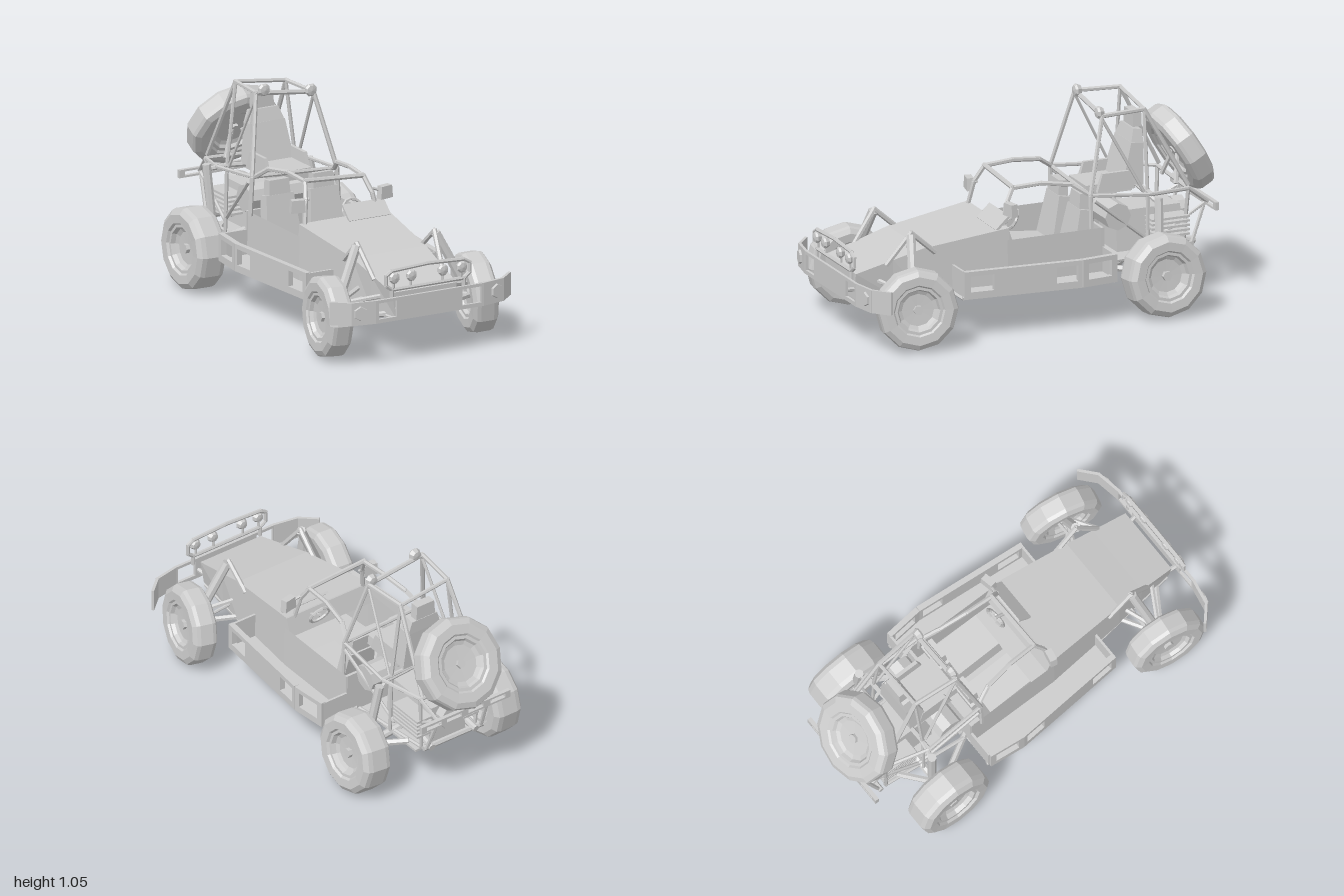
import * as THREE from 'three';

const mat = new THREE.MeshStandardMaterial({ color: 0xcccccc, flatShading: true, side: THREE.DoubleSide });
const V = (p) => new THREE.Vector3(...p);
const mirror = (p) => [-p[0], p[1], p[2]];

function add(parent, name, geo, pos = [0, 0, 0], rot = [0, 0, 0]) {
  const m = new THREE.Mesh(geo, mat);
  m.name = name;
  m.position.set(...pos);
  m.rotation.set(...rot);
  parent.add(m);
  return m;
}
const box = (w, h, d) => new THREE.BoxGeometry(w, h, d);
// Octagonal lamp with a shallow lens facing +z
const lamp = (r) => new THREE.LatheGeometry([[0, -0.6], [0.7, -0.5], [1, 0.2], [0.75, 0.5], [0, 0.65]].map(([x, y]) => new THREE.Vector2(x * r, y * r)), 8).rotateX(Math.PI / 2).rotateZ(Math.PI / 8);

// Box whose top is scaled in x and z
function taperBox(w, h, d, sx, sz = 1) {
  const g = box(w, h, d), p = g.attributes.position;
  for (let i = 0; i < p.count; i++) if (p.getY(i) > 0) p.setXYZ(i, p.getX(i) * sx, p.getY(i), p.getZ(i) * sz);
  return g;
}

// Straight tubes along a path of points
function bars(parent, name, pts, r = 0.01, sides = 6) {
  for (let i = 0; i + 1 < pts.length; i++) {
    const a = V(pts[i]), b = V(pts[i + 1]), d = b.clone().sub(a);
    const m = add(parent, name, new THREE.CylinderGeometry(r, r, d.length() + r, sides), a.clone().add(b).multiplyScalar(0.5).toArray());
    m.quaternion.setFromUnitVectors(new THREE.Vector3(0, 1, 0), d.normalize());
  }
}
function pairBars(parent, name, pts, r, sides) {
  bars(parent, name, pts, r, sides);
  bars(parent, name, pts.map(mirror), r, sides);
}

// Sheet spanning rows of points
function sheet(rows) {
  const v = [];
  for (let i = 0; i + 1 < rows.length; i++) for (let j = 0; j + 1 < rows[i].length; j++) {
    const [a, b, c, d] = [rows[i][j], rows[i][j + 1], rows[i + 1][j + 1], rows[i + 1][j]];
    v.push(...a, ...b, ...c, ...a, ...c, ...d);
  }
  const g = new THREE.BufferGeometry();
  g.setAttribute('position', new THREE.Float32BufferAttribute(v, 3));
  g.computeVertexNormals();
  return g;
}

// Upright plate with rectangular windows [x0, x1, y0, y1]
function plate(x0, x1, y0, y1, depth, holes = []) {
  const rect = (P, a, b, c, d) => new P([[a, c], [b, c], [b, d], [a, d]].map((q) => new THREE.Vector2(...q)));
  const s = rect(THREE.Shape, x0, x1, y0, y1);
  holes.forEach((h) => s.holes.push(rect(THREE.Path, ...h)));
  return new THREE.ExtrudeGeometry(s, { depth, bevelEnabled: false });
}

// Tyre and dished rim on an x axis
function wheel(parent, name, pos, rot, R, width) {
  const k = R / 0.2, h = width / 2, g = new THREE.Group();
  const half = [[0, 0.38], [0.08, 0.42], [0.098, 0.55], [0.106, 0.82], [0.12, 0.82], [0.128, 0.97], [0.17, 1], [0.194, 0.78], [0.2, 0.5]];
  const pts = [...half.map(([r, y]) => [r, -y]), ...half.slice().reverse()];
  const geo = new THREE.LatheGeometry(pts.map(([r, y]) => new THREE.Vector2(r * k, y * h)), 12);
  add(g, 'tyreAndRim', geo.rotateZ(-Math.PI / 2));
  add(g, 'hubNut', new THREE.CylinderGeometry(0.024, 0.024, width * 0.65, 6).rotateZ(Math.PI / 2));
  g.name = name;
  g.position.set(...pos);
  g.rotation.set(...rot);
  parent.add(g);
}

export function createModel() {
  const car = new THREE.Group();
  car.name = 'buggy';

  // Wheels: the front pair is steered, the spare leans on the tail
  wheel(car, 'frontWheelRight', [-0.41, 0.2, 0.722], [0, -0.12, -0.03], 0.2, 0.125);
  wheel(car, 'frontWheelLeft', [0.405, 0.2, 0.722], [0, -0.19, 0.07], 0.2, 0.13);
  wheel(car, 'rearWheelRight', [-0.395, 0.2, -0.59], [0, 0, -0.01], 0.204, 0.16);
  wheel(car, 'rearWheelLeft', [0.385, 0.2, -0.59], [0, 0, 0.09], 0.204, 0.16);
  wheel(car, 'spareWheel', [-0.028, 0.695, -0.858], [0.52, Math.PI / 2, 0], 0.23, 0.118);

  // Hood and nose
  const hoodRow = (z, wt, yt, wb) => [[-wb, 0.21, z], [-wt, yt, z], [wt, yt, z], [wb, 0.21, z]];
  add(car, 'hood', sheet([hoodRow(0.94, 0.18, 0.338, 0.16), hoodRow(0.75, 0.193, 0.388, 0.185), hoodRow(0.6, 0.205, 0.43, 0.21), hoodRow(0.16, 0.245, 0.49, 0.25)]));
  add(car, 'nosePanel', sheet([[[-0.18, 0.338, 0.94], [0.18, 0.338, 0.94]], [[-0.16, 0.21, 0.94], [0.16, 0.21, 0.94]]]));
  add(car, 'dashboard', box(0.48, 0.1, 0.03), [0, 0.43, 0.16], [0.3, 0, 0]);
  add(car, 'driverCowl', box(0.23, 0.012, 0.095), [0.115, 0.512, 0.185], [0.75, 0, 0]);

  // Floor: narrow under the nose, wide at the pods, with frame rails beneath
  const nose = [[0.92, 0.16], [0.45, 0.22]], pod = [[0.45, 0.35], [-0.15, 0.4], [-0.34, 0.38]];
  for (const part of [nose, pod]) {
    add(car, 'floor', sheet(part.map(([z, w]) => [[-w, 0.211, z], [w, 0.211, z]])));
    pairBars(car, 'floorEdgeRail', part.map(([z, w]) => [w, 0.203, z]));
  }
  for (const z of [0.45, 0.18, -0.08, -0.33]) {
    const w = 0.38 - Math.max(0, z) * 0.07;
    bars(car, 'floorCrossRail', [[-w, 0.2, z], [w, 0.2, z]], 0.01, 4);
  }
  pairBars(car, 'floorRail', [[0.13, 0.2, 0.9], [0.17, 0.2, -0.35]], 0.01, 4);
  add(car, 'bulkhead', box(0.5, 0.22, 0.015), [0, 0.32, -0.33]);

  // Cockpit walls and open side trays behind windowed frames
  for (const s of [-1, 1]) {
    add(car, 'cockpitWall', sheet([0.17, -0.34].map((z) => [[s * 0.248, 0.43, z], [s * 0.25, 0.21, z]])));
    add(car, 'trayFront', box(0.15, 0.13, 0.012), [s * 0.29, 0.27, 0.445]);
    add(car, 'trayBack', box(0.14, 0.13, 0.012), [s * 0.32, 0.27, -0.335]);
    const x = s > 0 ? 0 : -0.028;
    add(car, 'sideFrame', plate(0, 0.6, 0.2, 0.338, 0.028, [[0.03, 0.15, 0.235, 0.315], [0.47, 0.58, 0.235, 0.315]]), [s * 0.345 + x, 0, 0.45], [0, Math.PI / 2 - s * 0.083, 0]);
    add(car, 'sideFrameTail', plate(0, 0.19, 0.2, 0.338, 0.028, [[0.03, 0.16, 0.235, 0.315]]), [s * 0.395 + x, 0, -0.148], [0, Math.PI / 2 + s * 0.105, 0]);
  }

  // Front seats and steering
  for (const x of [-0.12, 0.125]) {
    add(car, 'seatCushion', taperBox(0.2, 0.09, 0.29, 0.92, 0.95), [x, 0.27, -0.08], [-0.1, 0, 0]);
    add(car, 'seatBack', taperBox(0.2, 0.25, 0.06, 0.75), [x, 0.39, -0.24], [-0.2, 0, 0]);
    add(car, 'seatHeadrest', taperBox(0.12, 0.085, 0.05, 0.9), [x, 0.545, -0.265], [-0.1, 0, 0]);
  }
  add(car, 'steeringWheel', new THREE.TorusGeometry(0.055, 0.008, 5, 12), [0.1, 0.49, 0.085], [-0.45, 0, 0]);
  bars(car, 'steeringColumn', [[0.1, 0.49, 0.085], [0.1, 0.45, 0.16]], 0.009);

  // Roll cage, leaning a little to one side
  const lean = ([x, y, z]) => [x - 0.014, y - x * 0.2 * Math.max(0, y - 0.35), z];
  const cage = (name, pts, r) => {
    bars(car, name, pts.map(lean), r);
    bars(car, name, pts.map(mirror).map(lean), r);
  };
  const cross = (name, x, y, z, r) => bars(car, name, [[-x, y, z], [x, y, z]].map(lean), r);
  cage('windscreenFrame', [[0.205, 0.47, 0.17], [0.185, 0.59, 0.145], [0.163, 0.668, 0.1], [0.17, 0.675, -0.05], [0.19, 0.655, -0.2], [0.22, 0.6, -0.28]], 0.012);
  cross('windscreenTopBar', 0.163, 0.67, 0.1, 0.012);
  cage('mainHoop', [[0.245, 0.42, -0.28], [0.235, 0.6, -0.28], [0.16, 0.977, -0.375], [0.14, 0.975, -0.605], [0.17, 0.57, -0.82]], 0.0115);
  cross('hoopTopBar', 0.16, 0.977, -0.375, 0.012);
  cross('rearTopBar', 0.14, 0.975, -0.605);
  cross('hoopMiddleBar', 0.235, 0.6, -0.28);
  cage('cageUpright', [[0.14, 0.97, -0.605], [0.19, 0.57, -0.6], [0.2, 0.24, -0.6]], 0.0095);
  cage('cageBrace', [[0.16, 0.95, -0.38], [0.19, 0.57, -0.58]], 0.008);
  cage('upperRail', [[0.235, 0.6, -0.28], [0.245, 0.57, -0.6], [0.18, 0.55, -0.82], [0.15, 0.46, -0.93]]);
  cage('rearStrut', [[0.18, 0.55, -0.82], [0.16, 0.24, -0.8], [0.2, 0.23, -0.36]]);
  cage('rearDiagonal', [[0.245, 0.57, -0.3], [0.19, 0.3, -0.62], [0.15, 0.46, -0.93]], 0.009);
  cage('tailBrace', [[0.16, 0.27, -0.85], [0.15, 0.46, -0.92]]);
  cross('rearRail', 0.18, 0.55, -0.82);
  cross('lowerRearRail', 0.17, 0.26, -0.84, 0.014);
  cross('engineRail', 0.245, 0.57, -0.6);
  cage('spareMount', [[0.08, 0.55, -0.8], [0.03, 0.67, -0.83]], 0.012);
  for (const s of [-1, 1]) {
    add(car, 'roofLamp', lamp(0.033), [s * 0.13 - 0.005, 0.99 - s * 0.02, -0.37]);
    add(car, 'mirror', taperBox(0.075, 0.063, 0.035, 0.85), [s * 0.243 - 0.005, 0.578, 0.15], [0, s * 0.2, 0]);
    bars(car, 'mirrorArm', [[s * 0.18, 0.6, 0.14], [s * 0.235, 0.58, 0.15]], 0.007);
  }

  // Raised rear seat
  add(car, 'rearSeatCushion', taperBox(0.21, 0.05, 0.24, 0.95), [0, 0.575, -0.43]);
  add(car, 'rearSeatBack', taperBox(0.235, 0.2, 0.11, 0.82, 0.6), [-0.005, 0.68, -0.57], [-0.16, 0, 0]);
  add(car, 'rearSeatTop', taperBox(0.19, 0.065, 0.065, 0.78, 0.7), [-0.007, 0.81, -0.592], [-0.16, 0, 0]);
  add(car, 'rearHeadrest', taperBox(0.112, 0.075, 0.045, 0.9), [-0.008, 0.885, -0.605]);
  for (const s of [-1, 1]) add(car, 'rearSeatBolster', taperBox(0.03, 0.09, 0.2, 0.6, 0.7), [s * 0.11, 0.61, -0.46]);

  // Engine bay
  add(car, 'enginePan', box(0.36, 0.012, 0.44), [0, 0.23, -0.58]);
  add(car, 'engineBlock', taperBox(0.22, 0.2, 0.34, 0.85), [0, 0.35, -0.64]);
  add(car, 'fanHousing', new THREE.CylinderGeometry(0.07, 0.07, 0.06, 10).rotateX(Math.PI / 2), [0, 0.39, -0.83]);
  add(car, 'fuelTank', new THREE.CylinderGeometry(0.068, 0.068, 0.42, 8).rotateZ(Math.PI / 2), [0, 0.46, -0.43]);
  for (const s of [-1, 1]) for (let i = 0; i < 5; i++) add(car, 'coolingFin', box(0.09, 0.011, 0.2), [s * 0.14, 0.32 + i * 0.022, -0.72]);
  pairBars(car, 'exhaust', [[0.12, 0.3, -0.7], [0.13, 0.27, -0.86]], 0.018, 8);
  add(car, 'rearBumper', plate(-0.28, 0.25, 0.44, 0.48, 0.02, [-0.25, -0.12, 0.01, 0.13].map((x) => [x, x + 0.09, 0.45, 0.47])), [0, 0, -0.945]);

  // Rear shocks follow the lean of the cage
  bars(car, 'rearShock', [[-0.28, 0.26, -0.6], [-0.305, 0.585, -0.62]], 0.022, 8);
  bars(car, 'rearShock', [[0.315, 0.26, -0.6], [0.265, 0.535, -0.62]], 0.022, 8);
  bars(car, 'rearShockMount', [[-0.305, 0.57, -0.62], [-0.2, 0.58, -0.6], [0.2, 0.545, -0.6], [0.265, 0.52, -0.62]], 0.012);

  for (const s of [-1, 1]) {
    const p = (a) => [s * a[0], a[1], a[2]];

    // Rear suspension
    bars(car, 'rearAxle', [[0.05, 0.25, -0.6], [0.35, 0.2, -0.59]].map(p), 0.02, 8);
    bars(car, 'trailingArm', [[0.2, 0.22, -0.34], [0.33, 0.2, -0.57], [0.17, 0.24, -0.72]].map(p), 0.016);

    // Front suspension and shock towers
    bars(car, 'frontShock', [[0.34, 0.27, 0.71], [0.225, 0.5, 0.67]].map(p), 0.024, 8);
    bars(car, 'shockTower', [[0.19, 0.37, 0.78], [0.215, 0.52, 0.665], [0.21, 0.41, 0.54]].map(p), 0.013);
    bars(car, 'lowerArm', [[0.16, 0.21, 0.86], [0.37, 0.19, 0.73], [0.2, 0.21, 0.62]].map(p), 0.014);
    bars(car, 'upperArm', [[0.18, 0.29, 0.82], [0.36, 0.25, 0.72], [0.2, 0.29, 0.65]].map(p), 0.012);
    bars(car, 'steeringRod', [[0.17, 0.25, 0.68], [0.37, 0.23, 0.68]].map(p), 0.008);

    // Bumper ends, lamps and brackets
    add(car, 'bumperWing', plate(-0.065, 0.065, 0.215, 0.33, 0.014), [s * 0.358, 0, 0.969], [0, s * 0.18, 0]);
    add(car, 'bumperTip', plate(-0.055, 0.055, 0.215, 0.33, 0.014), [s * 0.453, 0, 0.926], [0, s * 0.72, 0]);
    add(car, 'bumperLamp', new THREE.CylinderGeometry(0.034, 0.04, 0.025, 6).rotateX(Math.PI / 2), [s * 0.378, 0.275, 0.978], [0, s * 0.18, 0]);
    bars(car, 'bumperBracket', [[0.15, 0.25, 0.9], [0.16, 0.26, 0.982]].map(p), 0.012);
  }
  add(car, 'frontBumper', plate(-0.3, 0.3, 0.215, 0.33, 0.014, [[-0.285, -0.185, 0.235, 0.315], [0.18, 0.285, 0.235, 0.315]]), [0, 0, 0.981]);

  // Lamp bar above the bumper
  pairBars(car, 'lampBar', [[0, 0.365, 0.972], [0.2, 0.365, 0.972], [0.232, 0.39, 0.972], [0.232, 0.44, 0.972], [0.2, 0.46, 0.972], [0, 0.47, 0.972]]);
  pairBars(car, 'lampBarPost', [[0.2, 0.32, 0.972], [0.2, 0.37, 0.972]]);
  for (const x of [-0.19, -0.095, 0.08, 0.185]) {
    add(car, 'frontLamp', lamp(0.03), [x, 0.425, 0.976]);
    bars(car, 'lampStem', [[x, 0.37, 0.972], [x, 0.4, 0.972]], 0.006);
  }
  return car;
}
